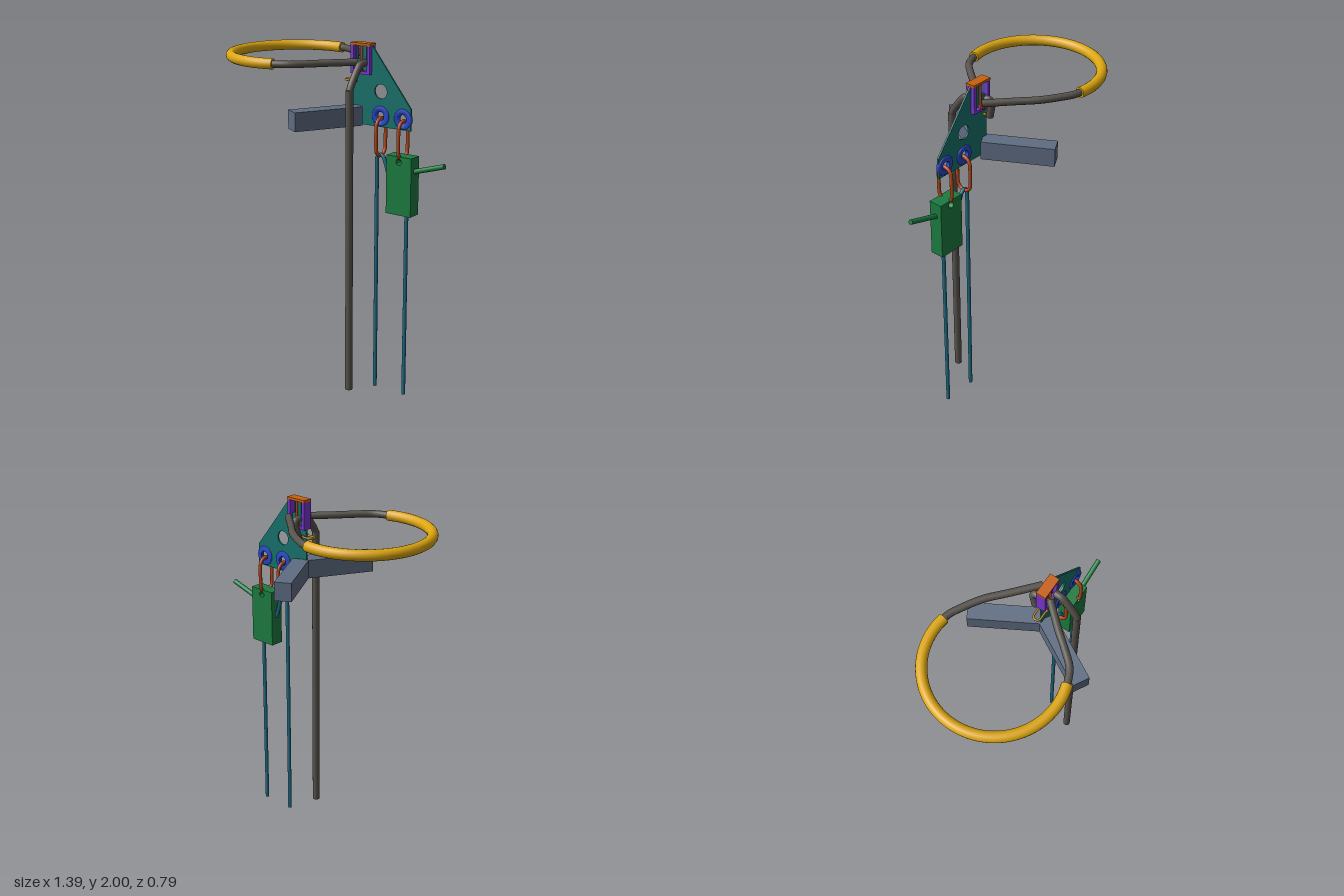
import * as THREE from 'three';

const V = (x, y, z) => new THREE.Vector3(x, y, z);
const mat = (color) => new THREE.MeshStandardMaterial({ color });
const teal = mat(0x17706a), blue = mat(0x2848c8), purple = mat(0x7a35d0), orange = mat(0xc8600f),
  rust = mat(0xb84a1c), green = mat(0x1c7a40), rope = mat(0x1f6c84), steel = mat(0x57524c),
  yellow = mat(0xdba510), slate = mat(0x5f6d82), gold = mat(0xb8801a), red = mat(0xd02020);

export function createModel() {
  const model = new THREE.Group();

  const add = (name, geometry, material, x = 0, y = 0, z = 0) => {
    const mesh = new THREE.Mesh(geometry, material);
    mesh.name = name;
    mesh.position.set(x, y, z);
    model.add(mesh);
    return mesh;
  };
  const box = (name, w, h, d, m, x, y, z) => add(name, new THREE.BoxGeometry(w, h, d), m, x, y, z);

  // Capped straight bar between two points
  const rod = (name, a, b, r, m) => {
    const mesh = add(name, new THREE.CylinderGeometry(r, r, a.distanceTo(b), 20), m);
    mesh.position.copy(a).lerp(b, 0.5);
    mesh.quaternion.setFromUnitVectors(V(0, 1, 0), b.clone().sub(a).normalize());
    return mesh;
  };
  // Smooth bent bar, with flat end caps unless closed
  const tube = (name, points, r, m, closed = false, segments = 64) => {
    const curve = new THREE.CatmullRomCurve3(points, closed, 'centripetal');
    add(name, new THREE.TubeGeometry(curve, segments, r, 16, closed), m);
    if (closed) return;
    for (const [t, s] of [[0, -1], [1, 1]]) {
      const cap = add(name + 'End', new THREE.CircleGeometry(r, 16), m);
      cap.position.copy(curve.getPoint(t));
      cap.quaternion.setFromUnitVectors(V(0, 0, 1), curve.getTangent(t).multiplyScalar(s));
    }
  };
  const hole = (x, y, r) => new THREE.Path().absarc(x, y, r, 0, Math.PI * 2, true);
  const slab = (name, shape, depth, m) => add(name,
    new THREE.ExtrudeGeometry(shape, { depth, bevelEnabled: false, curveSegments: 20 }).translate(0, 0, -depth / 2), m);
  const polygon = (Type, pts) => new Type(pts.map(([x, y]) => new THREE.Vector2(x, y)));
  const window_ = (x0, y0, x1, y1) => polygon(THREE.Path, [[x0, y0], [x0, y1], [x1, y1], [x1, y0]]);

  // Thin mounting plate with lightening hole, eyelet holes and upper slots
  const plate = polygon(THREE.Shape, [[0.1, 1.55], [0.475, 1.55], [0.475, 1.67], [0.217, 1.995], [0.1, 1.995]]);
  plate.holes.push(hole(0.28, 1.745, 0.04), hole(0.28, 1.61, 0.028), hole(0.425, 1.61, 0.028),
    window_(0.115, 1.91, 0.137, 1.983), window_(0.183, 1.91, 0.204, 1.983));
  slab('mountingPlate', plate, 0.01, teal);

  // Eyelets with hanging links
  for (const x of [0.28, 0.425]) {
    const profile = [[0.026, -0.012], [0.05, -0.012], [0.056, -0.006], [0.056, 0.006], [0.05, 0.012], [0.026, 0.012], [0.026, -0.012]];
    const eyelet = add('eyelet', new THREE.LatheGeometry(profile.map(([r, h]) => new THREE.Vector2(r, h)), 32), blue, x, 1.61, 0);
    eyelet.rotation.x = Math.PI / 2;
    const loop = [];
    for (let i = 0; i < 24; i++) {
      const a = (i + 0.5) / 24 * Math.PI * 2;
      loop.push(V(x, (Math.sin(a) > 0 ? 1.555 : 1.435) + 0.045 * Math.sin(a), 0.045 * Math.cos(a)));
    }
    tube('hangingLink', loop, 0.01, rust, true, 96);
  }

  // Clamp frame around the top of the plate
  for (const x of [0.104, 0.211]) box('clampPost', 0.018, 0.155, 0.054, purple, x, 1.909, 0);
  box('clampBase', 0.125, 0.016, 0.054, purple, 0.1575, 1.839, 0);
  box('clampCap', 0.127, 0.014, 0.056, orange, 0.1585, 1.993, 0);
  for (const s of [-1, 1]) rod('clampStrut', V(0.16, 1.845, 0.016 * s), V(0.16, 1.988, 0.016 * s), 0.007, rust);
  rod('clampPin', V(0.155, 1.85, -0.036), V(0.155, 1.85, 0.036), 0.01, red);

  // Small shackle beside the plate
  const bow = [V(0.13, 1.79, 0.02), V(0.07, 1.79, 0.02)];
  for (let i = 1; i < 8; i++) {
    const a = i / 8 * Math.PI;
    bow.push(V(0.068 - 0.02 * Math.sin(a), 1.79, 0.02 * Math.cos(a)));
  }
  bow.push(V(0.07, 1.79, -0.02), V(0.13, 1.79, -0.02));
  tube('smallShackle', bow, 0.006, gold);
  rod('shacklePin', V(0.12, 1.79, -0.03), V(0.12, 1.79, 0.03), 0.007, gold);

  // Pair of splayed support beams
  for (const s of [-1, 1]) {
    const beam = box('supportBeam', 0.095, 0.105, 0.4, slate, 0.04, 1.602, 0.183 * s);
    beam.rotation.y = -s * 0.515;
  }

  // Padded hoop and its bare arms
  const hoopPoint = (a) => V(-0.305 + 0.365 * Math.cos(a), 1.895, 0.365 * Math.sin(a));
  const pad = [];
  const start = 1.25, end = Math.PI * 2 - 1.39;
  for (let i = 0; i <= 32; i++) pad.push(hoopPoint(start + (end - start) * i / 32));
  tube('hoopPadding', pad, 0.03, yellow, false, 96);
  tube('frontHoopArm', [hoopPoint(1.35), hoopPoint(1.2), hoopPoint(1.0), V(-0.04, 1.895, 0.235), V(0.03, 1.895, 0.15), V(0.14, 1.895, 0.03)], 0.02, steel);
  tube('backHoopArm', [hoopPoint(-1.5), hoopPoint(-1.3), V(-0.14, 1.895, -0.318), V(-0.04, 1.895, -0.255), V(0.06, 1.895, -0.165), V(0.19, 1.895, -0.05)], 0.02, steel);

  // Pole with cranked top, plus the stub behind the plate
  rod('pole', V(0.187, 0.02, 0.165), V(0.187, 1.765, 0.165), 0.021, steel);
  tube('poleCrank', [V(0.187, 1.76, 0.165), V(0.187, 1.79, 0.15), V(0.187, 1.87, 0.09), V(0.187, 1.89, 0.068), V(0.187, 1.895, 0.025)], 0.02, steel);
  tube('backStub', [V(0.13, 1.895, -0.025), V(0.128, 1.885, -0.062), V(0.12, 1.79, -0.047)], 0.02, steel);

  // Brake body with hole and lever
  const body = polygon(THREE.Shape, [[0.345, 1.08], [0.505, 1.08], [0.505, 1.41], [0.345, 1.41]]);
  body.holes.push(hole(0.425, 1.38, 0.018));
  slab('brakeBody', body, 0.08, green);
  rod('brakeLever', V(0.49, 1.327, 0), V(0.69, 1.387, 0), 0.014, green);

  // Rope: one fall under the body, one looped through the link
  rod('rightFall', V(0.455, 0, 0), V(0.455, 1.09, 0), 0.011, rope);
  rod('leftFall', V(0.257, 0, 0), V(0.257, 1.375, 0), 0.011, rope);
  tube('ropeLoop', [V(0.257, 1.37, 0), V(0.264, 1.386, 0), V(0.28, 1.393, 0), V(0.298, 1.384, 0), V(0.345, 1.25, 0)], 0.011, rope);

  return model;
}
